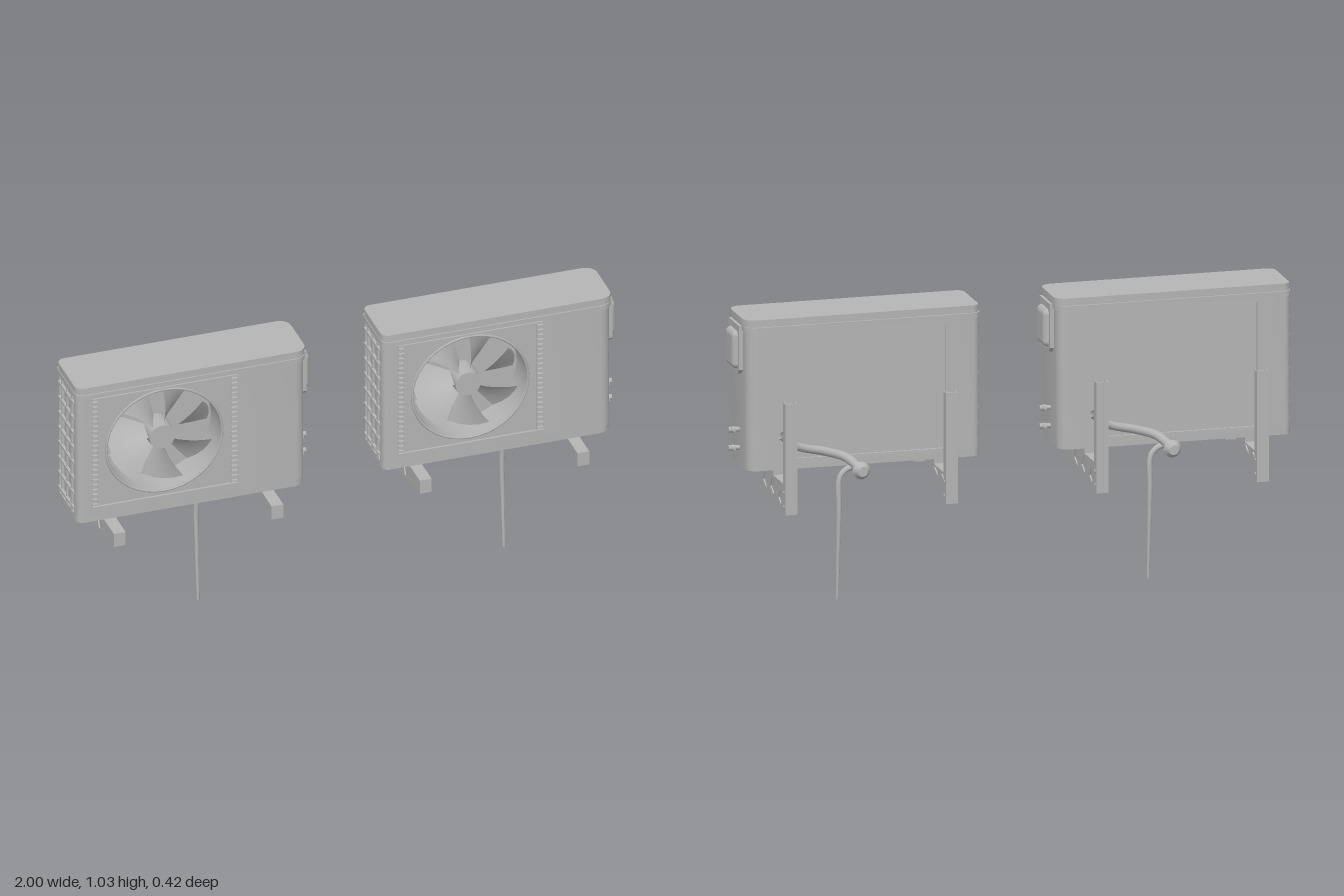
import * as THREE from 'three';
import { toCreasedNormals } from 'three/addons/utils/BufferGeometryUtils.js';
import { RoundedBoxGeometry } from 'three/addons/geometries/RoundedBoxGeometry.js';

const grey = new THREE.MeshStandardMaterial({ color: 0xb4b4b4, side: THREE.DoubleSide });
grey.name = 'casing grey';

function add(parent, name, geometry, x = 0, y = 0, z = 0) {
  const mesh = new THREE.Mesh(geometry, grey);
  mesh.name = name;
  mesh.position.set(x, y, z);
  parent.add(mesh);
  return mesh;
}

const box = (parent, name, w, h, d, x, y, z) =>
  add(parent, name, new THREE.BoxGeometry(w, h, d), x, y, z);

// Extrude a plan outline of [x, z] points upwards from y0 to y1
function extrudePlan(points, y0, y1) {
  const shape = new THREE.Shape(points.map(([x, z]) => new THREE.Vector2(x, -z)));
  const g = new THREE.ExtrudeGeometry(shape, { depth: y1 - y0, bevelEnabled: false });
  g.rotateX(-Math.PI / 2).translate(0, y0, 0);
  return toCreasedNormals(g, 0.6);
}

// Points of a rounded plan corner, from angle a0 over a quarter turn
function corner(cx, cz, r, a0) {
  return Array.from({ length: 6 }, (_, i) => {
    const a = a0 + (i / 5) * Math.PI / 2;
    return [cx + r * Math.cos(a), cz + r * Math.sin(a)];
  });
}

function plan(x0, x1, z0, z1, rRight, rLeft, front = [], left = [], back = []) {
  const H = Math.PI / 2;
  return [
    ...corner(x1 - rRight, z1 - rRight, rRight, 0), ...front,
    ...corner(x0 + rLeft, z1 - rLeft, rLeft, H), ...left,
    ...corner(x0 + rLeft, z0 + rLeft, rLeft, 2 * H), ...back,
    ...corner(x1 - rRight, z0 + rRight, rRight, 3 * H),
  ];
}

const FAN = { x: -0.105, y: 0.77, r: 0.21 };

function addCasing(unit) {
  // Main walls with a front bay for the fan, a side recess and a rear recess
  const front = [[0.15, 0.15], [0.15, 0.03], [-0.36, 0.03], [-0.36, 0.15]];
  const left = [[-0.422, 0.115], [-0.405, 0.115], [-0.405, -0.04], [-0.422, -0.04]];
  const back = [[-0.3, -0.08], [-0.3, -0.07], [0.25, -0.07], [0.25, -0.08]];
  const outline = plan(-0.422, 0.413, -0.08, 0.15, 0.04, 0.025, front, left, back);
  add(unit, 'casing', extrudePlan(outline, 0.515, 0.985));
  add(unit, 'base pan', extrudePlan(plan(-0.422, 0.411, -0.078, 0.149, 0.04, 0.025), 0.492, 0.515));
  add(unit, 'top lip', extrudePlan(plan(-0.425, 0.418, -0.08, 0.152, 0.042, 0.027), 0.985, 1.003));
  add(unit, 'top cover', extrudePlan(plan(-0.423, 0.42, -0.073, 0.147, 0.042, 0.027), 1.003, 1.029));

  // Front panel with the round fan opening
  const panel = new THREE.Shape();
  panel.moveTo(-0.36, 0.515).lineTo(0.15, 0.515).lineTo(0.15, 0.985).lineTo(-0.36, 0.985).closePath();
  const hole = new THREE.Path();
  hole.absellipse(FAN.x, FAN.y, FAN.r, 0.2, 0, Math.PI * 2, true);
  panel.holes.push(hole);
  const g = new THREE.ExtrudeGeometry(panel, { depth: 0.12, bevelEnabled: false, curveSegments: 24 });
  add(unit, 'front panel', toCreasedNormals(g, 0.6), 0, 0, 0.03);
  const ring = add(unit, 'fan opening rim', new THREE.TorusGeometry(0.212, 0.005, 6, 40), FAN.x, FAN.y, 0.15);
  ring.scale.y = 0.955;

  // Grille frame and the combs on both of its sides
  for (const y of [0.55, 0.983]) box(unit, 'grille rail', 0.53, 0.006, 0.008, FAN.x, y, 0.154);
  for (const s of [-1, 1]) {
    box(unit, 'grille post', 0.004, 0.433, 0.005, FAN.x + s * 0.243, 0.7665, 0.152);
    for (let i = 0; i < 22; i++) {
      box(unit, 'grille tooth', 0.02, 0.005, 0.01, FAN.x + s * 0.254, 0.562 + i * 0.0195, 0.155);
    }
  }

  // Coil guard on the side
  for (let i = 0; i < 8; i++) {
    box(unit, 'coil guard bar', 0.01, 0.008, 0.16, -0.423, 0.54 + i * 0.06, 0.0375);
  }
  for (const z of [-0.015, 0.0375, 0.09]) box(unit, 'coil guard post', 0.008, 0.47, 0.008, -0.421, 0.75, z);

  // Rear panel edges
  for (const y of [0.522, 0.978]) box(unit, 'rear panel edge', 0.55, 0.014, 0.01, -0.025, y, -0.075);
}

// Twisted fan blade running out from the hub
function bladeGeometry() {
  const g = new THREE.PlaneGeometry(1, 1, 4, 5);
  const p = g.attributes.position;
  for (let i = 0; i < p.count; i++) {
    const u = p.getX(i);
    const v = p.getY(i) + 0.5;
    const r = 0.04 + v * (0.152 - 0.02 * u * u);
    const a = u * (0.5 + 0.17 * v) + 0.12 * v;
    p.setXYZ(i, r * Math.cos(a), r * Math.sin(a), u * (0.055 + 0.015 * v));
  }
  g.computeVertexNormals();
  return g;
}

function addFan(unit) {
  const fan = new THREE.Group();
  fan.name = 'fan';
  fan.position.set(FAN.x, FAN.y, 0.09);
  unit.add(fan);
  const hub = new THREE.CylinderGeometry(0.046, 0.05, 0.08, 20).rotateX(Math.PI / 2);
  add(fan, 'fan hub', hub);
  const blade = bladeGeometry();
  for (let i = 0; i < 7; i++) add(fan, 'fan blade', blade).rotation.z = (i / 7) * Math.PI * 2 + 0.2;
}

function addServiceSide(unit) {
  // Chamfered cover plate, extruded outwards along x
  const s = new THREE.Shape([[-0.11, 1.0], [-0.11, 0.843], [-0.095, 0.827], [0.005, 0.827], [0.02, 0.843],
    [0.02, 1.0]].map(([z, y]) => new THREE.Vector2(z, y)));
  const plate = new THREE.ExtrudeGeometry(s, { depth: 0.018, bevelEnabled: false }).rotateY(Math.PI / 2);
  add(unit, 'connection cover', plate, 0.41, 0, 0);
  add(unit, 'cover bulge', new RoundedBoxGeometry(0.05, 0.135, 0.105, 3, 0.02), 0.422, 0.91, 0.043);

  // Two valves with cross nuts
  for (const y of [0.62, 0.555]) {
    add(unit, 'valve stem', new THREE.CylinderGeometry(0.008, 0.01, 0.045, 10).rotateZ(Math.PI / 2), 0.43, y, 0.027);
    add(unit, 'valve nut', new THREE.CylinderGeometry(0.012, 0.012, 0.012, 6).rotateZ(Math.PI / 2), 0.436, y, 0.027);
    add(unit, 'valve spindle', new THREE.CylinderGeometry(0.005, 0.005, 0.045, 8).rotateX(Math.PI / 2), 0.436, y, 0.027);
  }
}

// Wall bracket: pierced web, top flange, front lip and wall upright
function addBracket(unit, x, side) {
  const bracket = new THREE.Group();
  bracket.name = 'wall bracket';
  bracket.position.x = x;
  unit.add(bracket);
  const web = new THREE.Shape([[-0.21, 0.412], [0.19, 0.36], [0.19, 0.462], [-0.21, 0.462]]
    .map(([z, y]) => new THREE.Vector2(z, y)));
  for (const [z, y, r] of [[0.06, 0.43, 0.031], [-0.033, 0.427, 0.031], [-0.128, 0.41, 0.026]]) {
    web.holes.push(new THREE.Path([[r, 0.3 * r], [0.3 * r, -r], [-r, -0.3 * r], [-0.3 * r, r]]
      .map(([a, b]) => new THREE.Vector2(-z + a, y + b))));
  }
  const g = new THREE.ExtrudeGeometry(web, { depth: 0.005, bevelEnabled: false }).rotateY(Math.PI / 2);
  add(bracket, 'bracket web', g, side * 0.019 - 0.0025, 0, 0);
  box(bracket, 'bracket flange', 0.043, 0.006, 0.4, 0, 0.462, 0.01);
  box(bracket, 'bracket lip', 0.043, 0.05, 0.005, 0, 0.437, 0.207);
  box(bracket, 'wall upright', 0.043, 0.396, 0.006, 0, 0.557, -0.192);
  box(bracket, 'upright side', 0.005, 0.396, 0.034, side * 0.019, 0.557, -0.178);
  box(bracket, 'upright side', 0.005, 0.396, 0.034, -side * 0.019, 0.557, -0.178);
  for (const y of [0.385, 0.435]) {
    add(bracket, 'bracket bolt', new THREE.CylinderGeometry(0.007, 0.007, 0.05, 6).rotateZ(Math.PI / 2), 0, y, -0.175);
  }
  box(bracket, 'mounting foot', 0.043, 0.028, 0.14, 0, 0.479, 0.03);
}

// Tube along points whose radius changes linearly from r0 to r1
function taperedTube(points, r0, r1, steps) {
  const curve = new THREE.CatmullRomCurve3(points.map((p) => new THREE.Vector3(...p)));
  const g = new THREE.TubeGeometry(curve, steps, 1, 10);
  const p = g.attributes.position;
  const v = new THREE.Vector3();
  for (let i = 0; i < p.count; i++) {
    const t = Math.floor(i / 11) / steps;
    const c = curve.getPointAt(t);
    v.fromBufferAttribute(p, i).sub(c).multiplyScalar(r0 + (r1 - r0) * t).add(c);
    p.setXYZ(i, v.x, v.y, v.z);
  }
  return g;
}

function addPipes(unit) {
  add(unit, 'drain hose', taperedTube(
    [[0.0, 0.475, -0.02], [0.045, 0.462, -0.024], [0.068, 0.435, -0.027], [0.072, 0.32, -0.032], [0.075, 0, -0.018]],
    0.011, 0.005, 40));
  add(unit, 'drain outlet', new THREE.CylinderGeometry(0.03, 0.018, 0.022, 14), 0, 0.482, -0.02);

  add(unit, 'refrigerant pipe', taperedTube(
    [[0.31, 0.63, -0.14], [0.25, 0.585, -0.122], [0.14, 0.555, -0.112], [0.075, 0.535, -0.13], [0.035, 0.5, -0.2]],
    0.014, 0.017, 32));
  add(unit, 'pipe wall flange', new THREE.CylinderGeometry(0.018, 0.032, 0.02, 12).rotateX(-Math.PI / 2),
    0.035, 0.498, -0.197);
}

function makeUnit(name, x) {
  const unit = new THREE.Group();
  unit.name = name;
  unit.position.x = x;
  addCasing(unit);
  addFan(unit);
  addServiceSide(unit);
  addBracket(unit, -0.288, -1);
  addBracket(unit, 0.288, 1);
  addPipes(unit);
  return unit;
}

export function createModel() {
  const model = new THREE.Group();
  model.name = 'outdoor air conditioners';
  model.add(makeUnit('right unit', -0.57), makeUnit('left unit', 0.547));
  return model;
}
